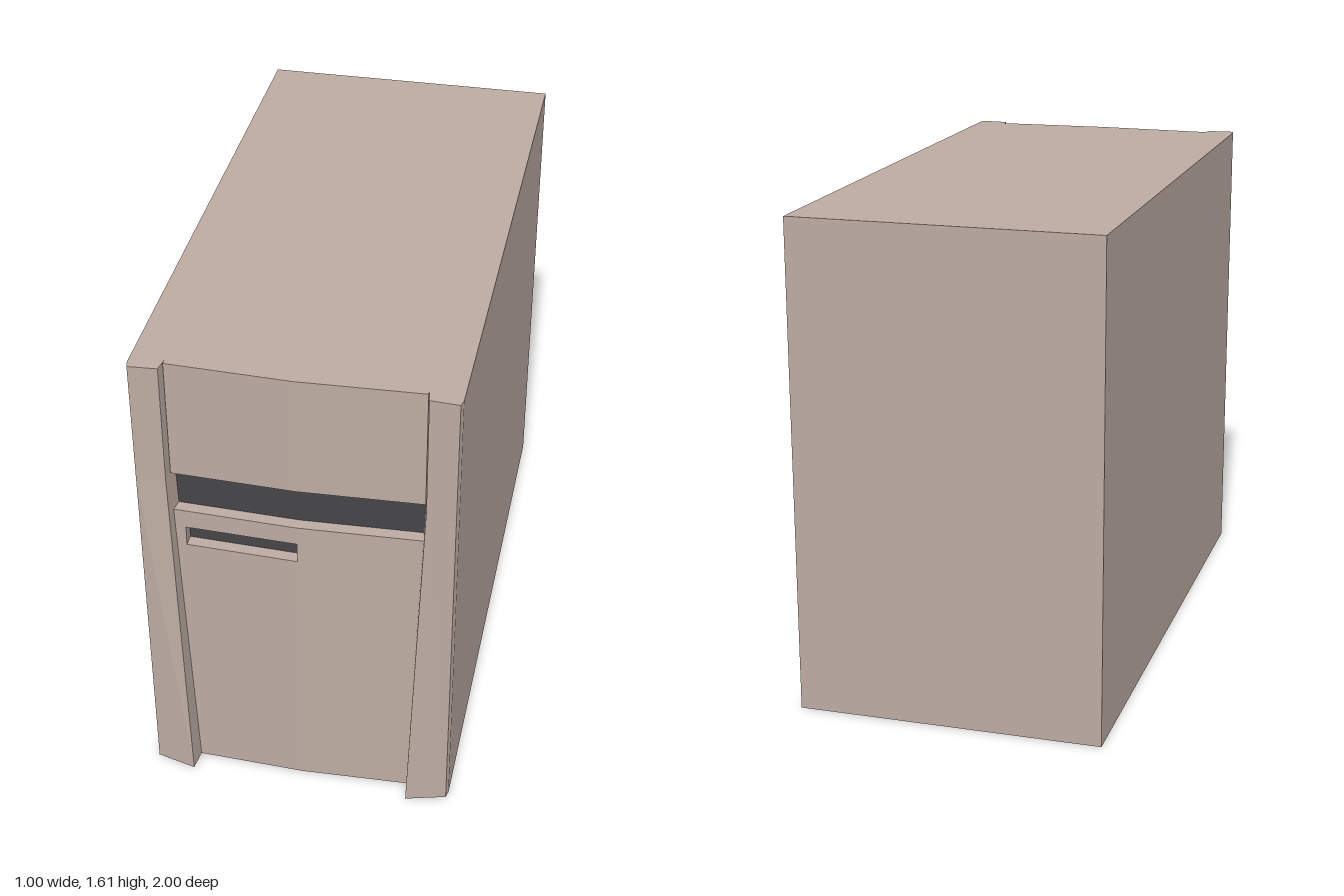
import * as THREE from 'three';

const HEIGHT = 1.614, BACK = 0.88, HALF = 0.395;

// Flat-faced solid lofted through horizontal [x, z] sections at rising heights.
function loft(sections) {
  const flip = THREE.ShapeUtils.isClockWise(sections[0].pts.map(p => new THREE.Vector2(...p)));
  const rings = sections.map(s => {
    const ring = s.pts.map(([x, z]) => [x, s.y, z]);
    return flip ? ring.reverse() : ring;
  });
  const pos = [];
  const tri = (a, b, c) => pos.push(...a, ...b, ...c);
  const n = rings[0].length;
  for (let k = 0; k < rings.length - 1; k++) {
    const lo = rings[k], hi = rings[k + 1];
    for (let i = 0; i < n; i++) {
      const j = (i + 1) % n;
      tri(lo[i], hi[i], hi[j]);
      tri(lo[i], hi[j], lo[j]);
    }
  }
  const cap = (ring, up) => {
    const flat = ring.map(p => new THREE.Vector2(p[0], p[2]));
    for (const [a, b, c] of THREE.ShapeUtils.triangulateShape(flat, [])) {
      if (up) tri(ring[a], ring[c], ring[b]);
      else tri(ring[a], ring[b], ring[c]);
    }
  };
  cap(rings[0], false);
  cap(rings[rings.length - 1], true);
  const g = new THREE.BufferGeometry();
  g.setAttribute('position', new THREE.Float32BufferAttribute(pos, 3));
  g.computeVertexNormals();
  return g;
}

// Depth of the gently bowed front, creased along the centre line.
const bow = x => 0.945 - 0.015 * Math.abs(x) / HALF;

export function createModel() {
  const model = new THREE.Group();
  model.name = 'computerTower';
  const beige = new THREE.MeshStandardMaterial({ color: 0xbcaba2 });
  beige.name = 'beigeCase';
  const dark = new THREE.MeshStandardMaterial({ color: 0x454549 });
  dark.name = 'darkBay';

  const add = (name, geometry, material) => {
    const mesh = new THREE.Mesh(geometry, material);
    mesh.name = name;
    model.add(mesh);
  };

  // Main case
  const chassis = new THREE.BoxGeometry(1, HEIGHT, BACK + 1);
  chassis.translate(0, HEIGHT / 2, (BACK - 1) / 2);
  add('chassis', chassis, beige);

  // Slab following the bowed front between x0 and x1
  const slab = (x0, x1, y0, y1, inset = 0, thickness = null) => {
    const xs = x0 < 0 && x1 > 0 ? [x0, 0, x1] : [x0, x1];
    const front = xs.map(x => [x, bow(x) - inset]);
    const back = xs.map(x => [x, thickness ? bow(x) - inset - thickness : BACK]).reverse();
    const pts = [...front, ...back];
    return loft([{ y: y0, pts }, { y: y1, pts }]);
  };

  // Front panel, left open for the two bays
  [
    ['lowerPanel', -HALF, HALF, 0, 0.93],
    ['slotEndPanel', -HALF, -0.357, 0.93, 1.0],
    ['slotSidePanel', 0, HALF, 0.93, 1.0],
    ['middlePanel', -HALF, HALF, 1.0, 1.065],
    ['upperPanel', -HALF, HALF, 1.207, HEIGHT],
  ].forEach(([name, ...size]) => add(name, slab(...size), beige));

  // Recessed dark bay faces
  add('driveBay', slab(-HALF, HALF, 1.065, 1.207, 0.04, 0.008), dark);
  add('floppySlot', slab(-0.357, 0, 0.93, 1.0, 0.04, 0.008), dark);

  // Side rails: straight above, flaring forward and inward towards the base
  for (const side of [1, -1]) {
    const section = (y, lipX, lipZ, innerX) => ({
      y,
      pts: [[0.5, BACK], [0.5, 0.942], [0.494, 0.966], [lipX, lipZ], [innerX, BACK]]
        .map(([x, z]) => [side * x, z]),
    });
    add(side > 0 ? 'leftRail' : 'rightRail', loft([
      section(0, 0.363, 1.0, 0.349),
      section(1.2, 0.402, 0.96, 0.39),
      section(HEIGHT, 0.402, 0.96, 0.39),
    ]), beige);
  }
  return model;
}
